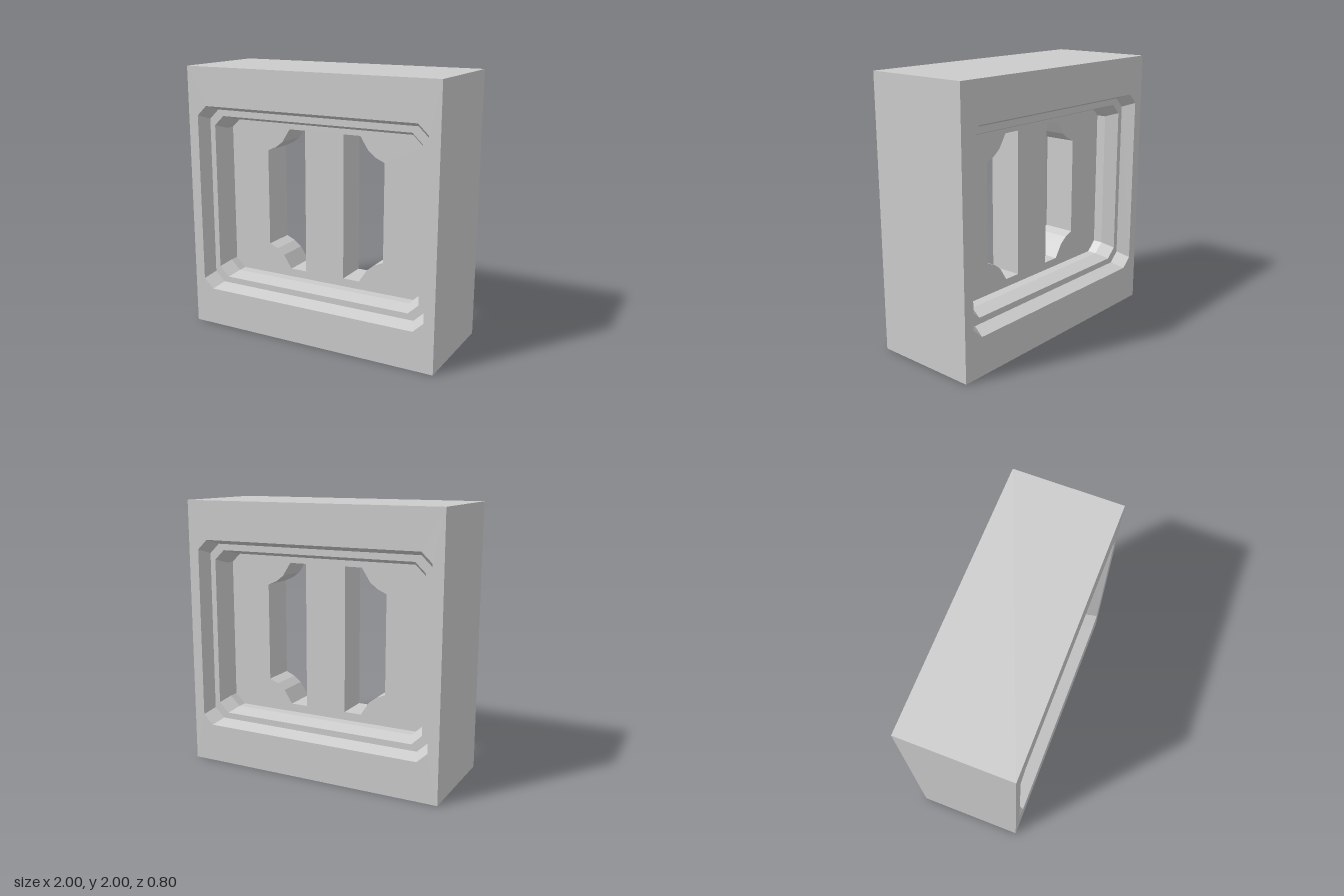
import * as THREE from 'three';

const material = new THREE.MeshStandardMaterial({ color: 0xcccccc, flatShading: true });
const MID_Y = 1.0;

// Rectangle with cut corners, counter-clockwise seen from the front
function outline(w, h, cx = 0.078, cy = 0.074) {
  return [
    [-w + cx, -h], [w - cx, -h], [w, -h + cy], [w, h - cy],
    [w - cx, h], [-w + cx, h], [-w, h - cy], [-w, -h + cy],
  ].map(([x, y]) => new THREE.Vector2(x, y + MID_Y));
}

// Joins successive closed outlines with flat faces
function loft(rings) {
  const pos = [];
  const tri = (a, b, c) => {
    const area = b.clone().sub(a).cross(c.clone().sub(a)).length();
    if (area > 1e-7) pos.push(...a, ...b, ...c);
  };
  for (let i = 0; i + 1 < rings.length; i++) {
    const lower = rings[i], upper = rings[i + 1], n = lower.length;
    for (let j = 0; j < n; j++) {
      const k = (j + 1) % n;
      tri(lower[j], lower[k], upper[k]);
      tri(lower[j], upper[k], upper[j]);
    }
  }
  const geo = new THREE.BufferGeometry();
  geo.setAttribute('position', new THREE.Float32BufferAttribute(pos, 3));
  geo.computeVertexNormals();
  return geo;
}

export function createModel() {
  const group = new THREE.Group();

  // Block with a stepped recess in both the front and the back: [half width, half height, z]
  const ring = (w, h, z, cut) => outline(w, h, cut, cut).map(p => new THREE.Vector3(p.x, p.y, z));
  const steps = [
    [1, 1, 0.4, 0],
    [0.92, 0.713, 0.4],
    [0.883, 0.678, 0.3],
    [0.84, 0.632, 0.3],
    [0.804, 0.6, 0.2],
    [0.804, 0.6, 0.125],
  ];
  const front = steps.map(s => ring(...s));
  const back = steps.map(([w, h, z, cut]) => ring(w, h, -z, cut)).reverse();
  const frame = new THREE.Mesh(loft([...back, ...front]), material);
  frame.name = 'frame';
  group.add(frame);

  // Middle plate with two mirrored slots
  const plateShape = new THREE.Shape(outline(0.804, 0.6));
  const quarter = [[0.16, 0.542], [0.292, 0.542], [0.357, 0.442], [0.415, 0.397], [0.484, 0.367]];
  const slot = [...quarter, ...quarter.map(([x, y]) => [x, -y]).reverse()];
  for (const side of [-1, 1]) {
    plateShape.holes.push(new THREE.Path(slot.map(([x, y]) => new THREE.Vector2(side * x, y + MID_Y + 0.003))));
  }
  const plateGeo = new THREE.ExtrudeGeometry(plateShape, { depth: 0.25, bevelEnabled: false });
  plateGeo.translate(0, 0, -0.125);
  const plate = new THREE.Mesh(plateGeo, material);
  plate.name = 'slottedPlate';
  group.add(plate);

  return group;
}
